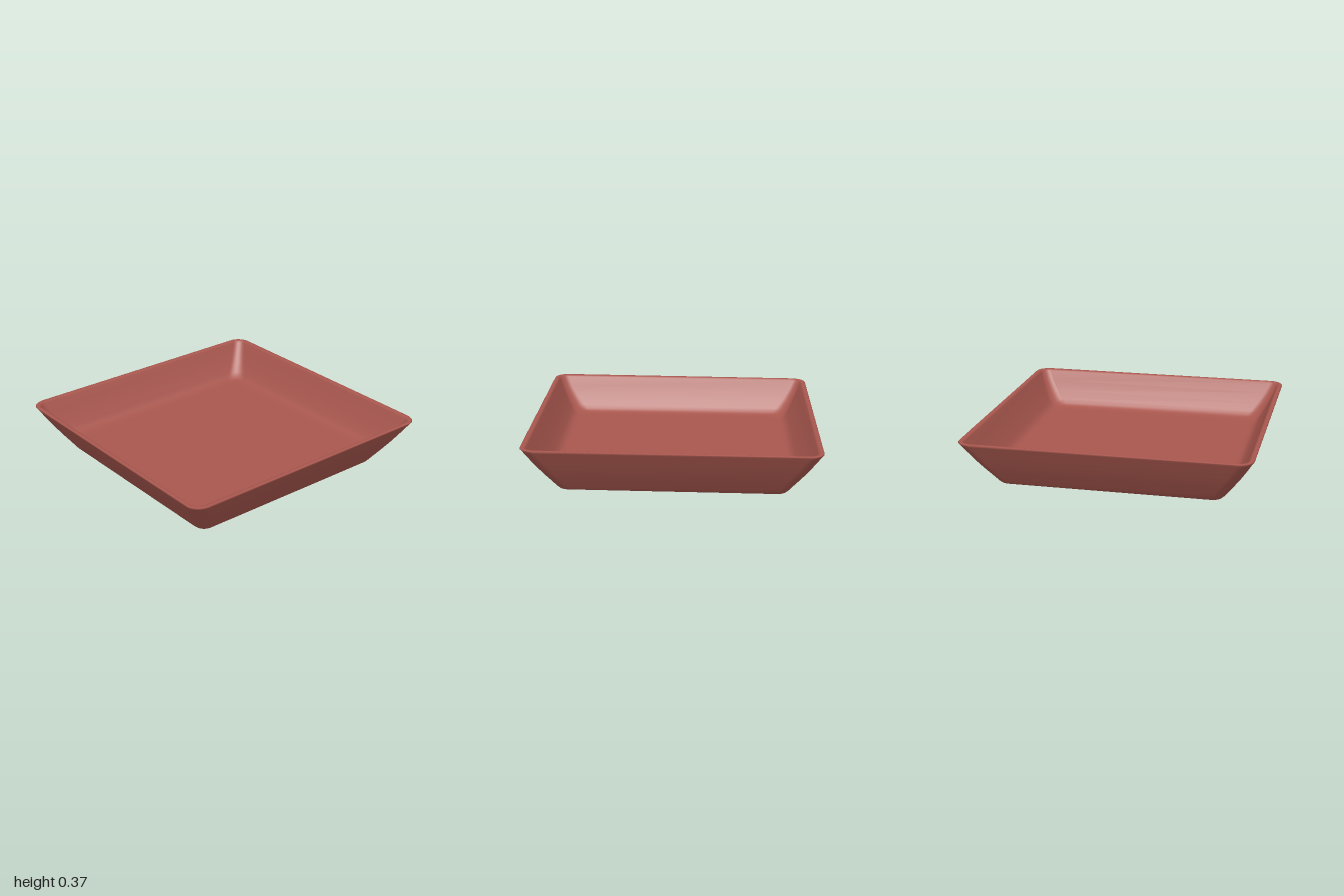
import * as THREE from 'three';

const CORNER_STEPS = 8;

// One rounded-square ring: half width h, corner radius r, height y
function ring(h, r, y) {
  const pts = [];
  for (let k = 0; k < 4; k++) {
    const mid = Math.PI / 4 + k * Math.PI / 2;
    const cx = Math.sign(Math.cos(mid)) * (h - r);
    const cz = Math.sign(Math.sin(mid)) * (h - r);
    for (let s = 0; s <= CORNER_STEPS; s++) {
      const a = (k + s / CORNER_STEPS) * Math.PI / 2;
      const x = cx + r * Math.cos(a), z = cz + r * Math.sin(a);
      // The fired clay leans very slightly to one side
      pts.push(x, y + 0.0115 * x - 0.002 * z, z);
    }
  }
  return pts;
}

// Joins successive rings into one smooth skin
function loft(profile) {
  const n = 4 * (CORNER_STEPS + 1);
  const positions = profile.flatMap(([h, r, y]) => ring(h, r, y));
  const index = [];
  for (let i = 0; i < profile.length - 1; i++) {
    for (let j = 0; j < n; j++) {
      const a = i * n + j, b = i * n + (j + 1) % n;
      index.push(a, a + n, b, b, a + n, b + n);
    }
  }
  const geo = new THREE.BufferGeometry();
  geo.setAttribute('position', new THREE.Float32BufferAttribute(positions, 3));
  geo.setIndex(index);
  geo.computeVertexNormals();
  return geo;
}

export function createModel() {
  const group = new THREE.Group();
  group.name = 'squareDish';
  const clay = new THREE.MeshStandardMaterial({ color: 0xa8574e });
  clay.name = 'terracotta';

  // [half width, corner radius, height] from the underside to the inner floor
  const profile = [
    // recessed underside
    [0, 0, 0.05], [0.66, 0.03, 0.05], [0.68, 0.03, 0.048],
    // foot ring
    [0.7, 0.04, 0.036], [0.712, 0.04, 0.02], [0.725, 0.05, 0.012], [0.75, 0.06, 0.011],
    [0.768, 0.07, 0.016], [0.785, 0.08, 0.032],
    // flared outer wall
    [0.812, 0.085, 0.07], [0.852, 0.09, 0.125], [0.9, 0.095, 0.195],
    [0.947, 0.1, 0.27], [0.985, 0.1, 0.335],
    // rounded rim
    [0.994, 0.1, 0.348], [0.99, 0.098, 0.353], [0.972, 0.08, 0.354], [0.962, 0.07, 0.351], [0.955, 0.065, 0.342],
    // inner wall and floor
    [0.925, 0.07, 0.272], [0.888, 0.08, 0.2], [0.852, 0.09, 0.14],
    [0.832, 0.09, 0.115], [0.81, 0.09, 0.1], [0.78, 0.08, 0.094], [0.74, 0.07, 0.093], [0, 0, 0.093],
  ];
  const dish = new THREE.Mesh(loft(profile), clay);
  dish.name = 'dish';
  group.add(dish);
  return group;
}
